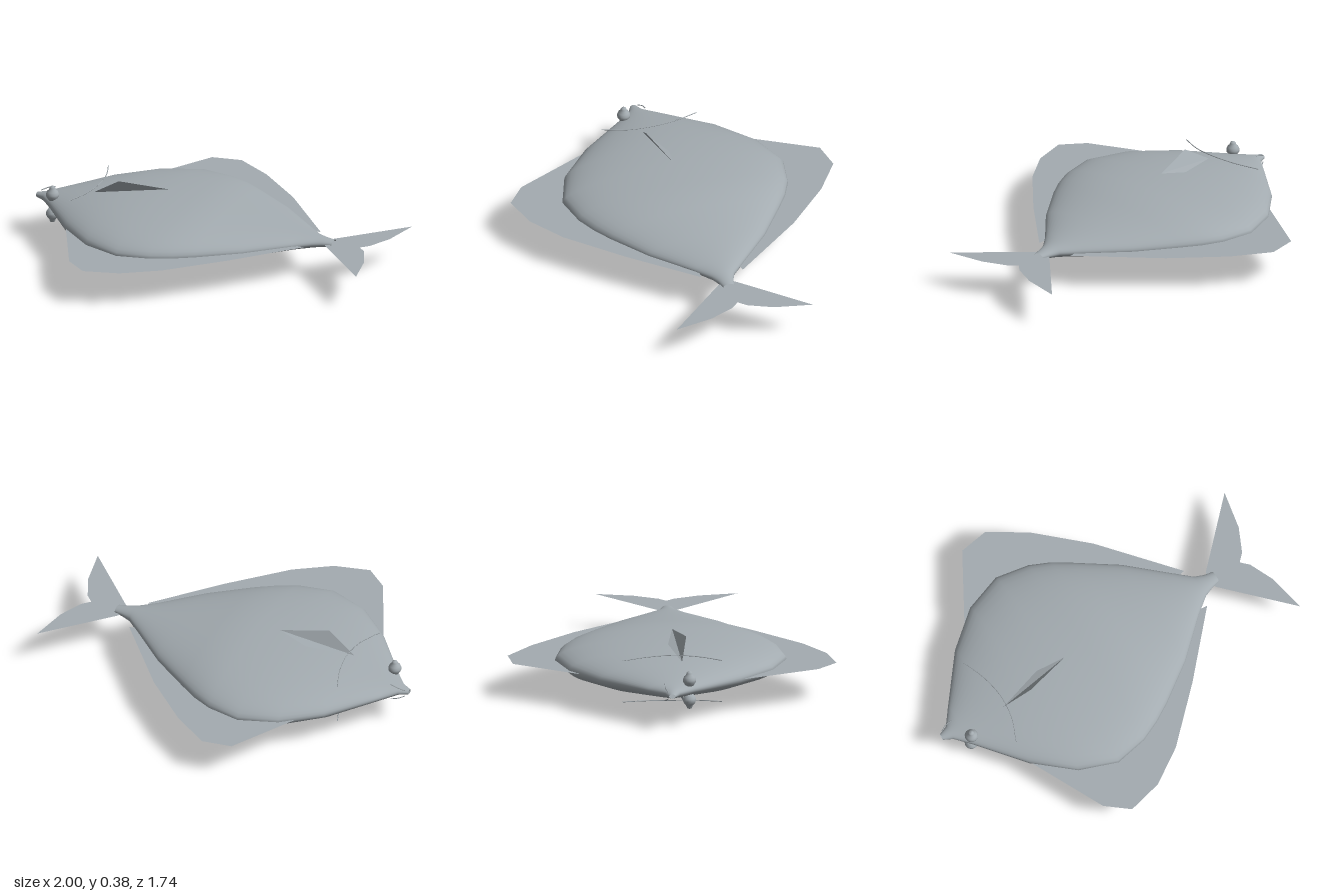
import * as THREE from 'three';

const MID = 0.19; // height of the flat symmetry plane

export function createModel() {
  const grey = new THREE.MeshStandardMaterial({ color: 0xa3abb0, side: THREE.DoubleSide });
  grey.name = 'silver grey';

  const model = new THREE.Group();
  model.name = 'flatFish';
  const add = (parent, name, geometry) => {
    const mesh = new THREE.Mesh(geometry, grey);
    mesh.name = name;
    parent.add(mesh);
    return mesh;
  };
  const core = new THREE.Group();
  core.name = 'core';
  core.position.y = MID;
  model.add(core);

  // Body: elliptical rings given as [x, back z, belly z, half thickness]
  const rings = [
    [-1, -0.03, 0.005, 0.012], [-0.95, -0.05, 0.03, 0.024], [-0.88, -0.14, 0.11, 0.04],
    [-0.68, -0.39, 0.36, 0.082], [-0.485, -0.55, 0.53, 0.108], [-0.28, -0.622, 0.605, 0.12],
    [-0.1, -0.59, 0.57, 0.119], [0.01, -0.54, 0.52, 0.115], [0.11, -0.475, 0.46, 0.102],
    [0.32, -0.33, 0.31, 0.073], [0.52, -0.15, 0.125, 0.044], [0.61, -0.07, 0.055, 0.031],
    [0.66, -0.05, 0.035, 0.024], [0.71, -0.04, 0.022, 0.017],
  ];
  add(core, 'body', ringSurface(rings, 48));

  // Thin fins lying in the middle plane, outlined in x and z
  add(core, 'dorsalFin', flatFin([
    [-0.57, -0.47], [-0.35, -0.845], [-0.19, -0.87], [0.01, -0.74],
    [0.26, -0.51], [0.585, -0.125], [0.5, -0.11], [-0.2, -0.4],
  ]));
  add(core, 'analFin', flatFin([
    [-0.68, 0.35], [-0.48, 0.77], [-0.36, 0.867], [-0.17, 0.82],
    [0.02, 0.695], [0.29, 0.43], [0.585, 0.105], [0.5, 0.1], [-0.2, 0.4],
  ]));
  add(core, 'tailFin', flatFin([
    [0.66, -0.01], [0.68, -0.06], [1, -0.385], [0.96, -0.18], [0.9, -0.05], [0.86, -0.01],
    [0.9, 0.03], [0.96, 0.165], [1, 0.37], [0.68, 0.04],
  ]));

  // Details repeated on the upper and lower faces
  for (const side of [1, -1]) {
    const half = new THREE.Group();
    half.name = side > 0 ? 'upperDetails' : 'lowerDetails';
    half.scale.y = side;
    core.add(half);

    // Pectoral fin: two triangles folded along the middle
    const A = [-0.65, 0.09, 0.045], B = [-0.495, 0.188, 0.07];
    const C = [-0.24, 0.157, 0], D = [-0.4, 0.118, -0.025];
    const fin = new THREE.BufferGeometry();
    fin.setAttribute('position', new THREE.Float32BufferAttribute([A, B, C, A, C, D].flat(), 3));
    fin.computeVertexNormals();
    add(half, 'pectoralFin', fin);

    // Bulging eye with a small pupil knob
    const profile = [[0, 0.02], [0.022, 0.025], [0.034, 0.045], [0.035, 0.058], [0.029, 0.073],
      [0.018, 0.083], [0.016, 0.092], [0.011, 0.1], [0, 0.104]];
    const eye = add(half, 'eye', new THREE.LatheGeometry(profile.map(p => new THREE.Vector2(...p)), 20));
    eye.position.set(-0.872, 0, 0.08);

    // Gill slit and mouth crease
    add(half, 'gillSlit', thread([
      [-0.7, 0.113, -0.27], [-0.655, 0.12, -0.14], [-0.635, 0.124, 0],
      [-0.65, 0.12, 0.13], [-0.7, 0.113, 0.255],
    ]));
    add(half, 'mouthCrease', thread([[-0.985, 0.018, -0.034], [-0.95, 0.034, -0.048], [-0.91, 0.046, -0.05]]));
  }
  return model;
}

// Joins elliptical rings into one smooth open skin
function ringSurface(rings, n) {
  const pos = [], index = [];
  rings.forEach(([x, back, belly, h], i) => {
    for (let j = 0; j < n; j++) {
      const a = (j / n) * Math.PI * 2;
      pos.push(x, h * Math.sin(a), (back + belly) / 2 + (belly - back) / 2 * Math.cos(a));
      if (i === rings.length - 1) continue;
      const p = i * n + j, q = i * n + (j + 1) % n;
      index.push(p, p + n, q, q, p + n, q + n);
    }
  });
  const g = new THREE.BufferGeometry();
  g.setAttribute('position', new THREE.Float32BufferAttribute(pos, 3));
  g.setIndex(index);
  g.computeVertexNormals();
  return g;
}

// Flat plate in the horizontal plane
function flatFin(points) {
  const shape = new THREE.Shape(points.map(p => new THREE.Vector2(...p)));
  return new THREE.ShapeGeometry(shape).rotateX(Math.PI / 2);
}

// Very thin curved line
function thread(points) {
  const curve = new THREE.CatmullRomCurve3(points.map(p => new THREE.Vector3(...p)));
  return new THREE.TubeGeometry(curve, 20, 0.0025, 5);
}
